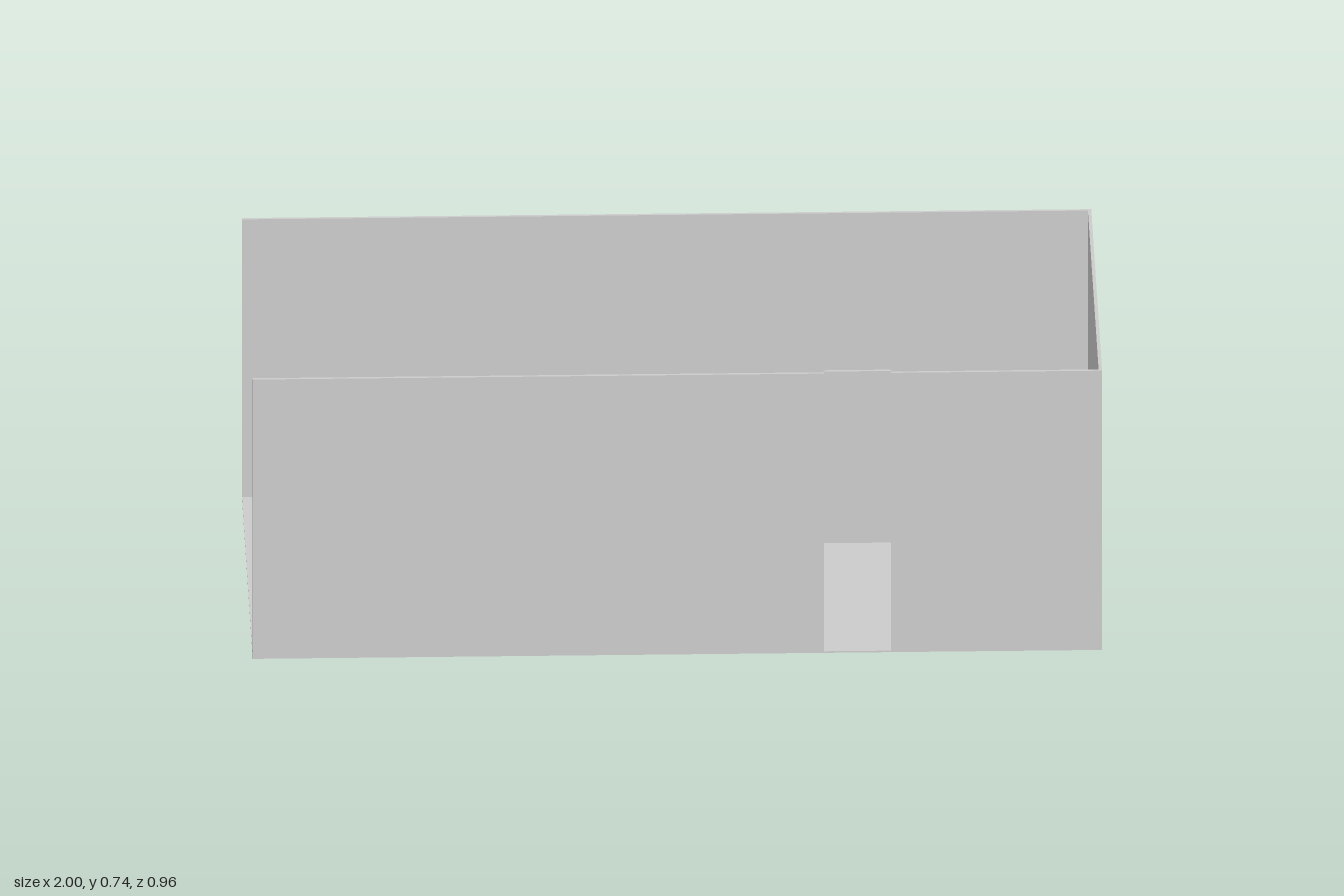
import * as THREE from 'three';

const material = new THREE.MeshStandardMaterial({ color: 0xcccccc, flatShading: true });

// Box given by its minimum and maximum corners.
function block(parent, name, [x0, y0, z0], [x1, y1, z1]) {
  const mesh = new THREE.Mesh(new THREE.BoxGeometry(x1 - x0, y1 - y0, z1 - z0), material);
  mesh.position.set((x0 + x1) / 2, (y0 + y1) / 2, (z0 + z1) / 2);
  mesh.name = name;
  parent.add(mesh);
  return mesh;
}

// Open-topped container with thin walls.
function openBox(parent, name, [x0, y0, z0], [x1, y1, z1], t) {
  const group = new THREE.Group();
  group.name = name;
  block(group, 'bottom', [x0, y0, z0], [x1, y0 + t, z1]);
  block(group, 'sideRight', [x0, y0 + t, z0], [x0 + t, y1, z1]);
  block(group, 'sideLeft', [x1 - t, y0 + t, z0], [x1, y1, z1]);
  block(group, 'sideBack', [x0 + t, y0 + t, z0], [x1 - t, y1, z0 + t]);
  block(group, 'sideFront', [x0 + t, y0 + t, z1 - t], [x1 - t, y1, z1]);
  parent.add(group);
}

export function createModel() {
  const model = new THREE.Group();
  model.name = 'room';
  const base = 0.019, top = 0.735, depth = 0.48, wall = 0.008;
  const doorX0 = 0.345, doorX1 = 0.503, doorTop = 0.3;

  // Floor and three walls; the -x end stays open
  block(model, 'floor', [-1, base, -depth], [1, base + 0.004, depth]);
  block(model, 'backWall', [-1, base, -depth], [1, top, -depth + wall]);
  block(model, 'endWall', [1 - wall, base, -depth], [1, top, depth]);

  // Front wall split around the doorway
  const front = new THREE.Group();
  front.name = 'frontWall';
  block(front, 'longSection', [-1, base, depth - wall], [doorX0, top, depth]);
  block(front, 'shortSection', [doorX1, base, depth - wall], [1, top, depth]);
  block(front, 'lintel', [doorX0, doorTop, depth - wall], [doorX1, top + 0.005, depth]);
  model.add(front);

  // Rack: four posts, two framed shelves and a hopper
  const rack = new THREE.Group();
  rack.name = 'rack';
  const x0 = 0.865, x1 = 0.975, z0 = 0.19, z1 = 0.378, post = 0.016;
  for (const x of [x0, x1 - post])
    for (const z of [z0, z1 - post])
      block(rack, 'post', [x, 0, z], [x + post, 0.4, z + post]);
  for (const y of [0.31, 0.345])
    block(rack, 'shelf', [x0 + 0.003, y, z0 + 0.003], [x1 - 0.003, y + 0.01, z1 - 0.003]);
  openBox(rack, 'hopper', [0.884, 0.355, 0.22], [0.956, 0.447, 0.292], 0.004);
  block(rack, 'bracket', [x1 - 0.003, 0.345, 0.292], [x1 + 0.01, 0.355, 0.3]);
  model.add(rack);

  // Floor-standing bin and cabinet along the end wall
  openBox(model, 'bin', [0.84, 0.015, -0.042], [0.98, 0.25, 0.135], 0.005);
  block(model, 'cabinet', [0.86, 0.013, -0.19], [0.957, 0.25, -0.065]);

  return model;
}
